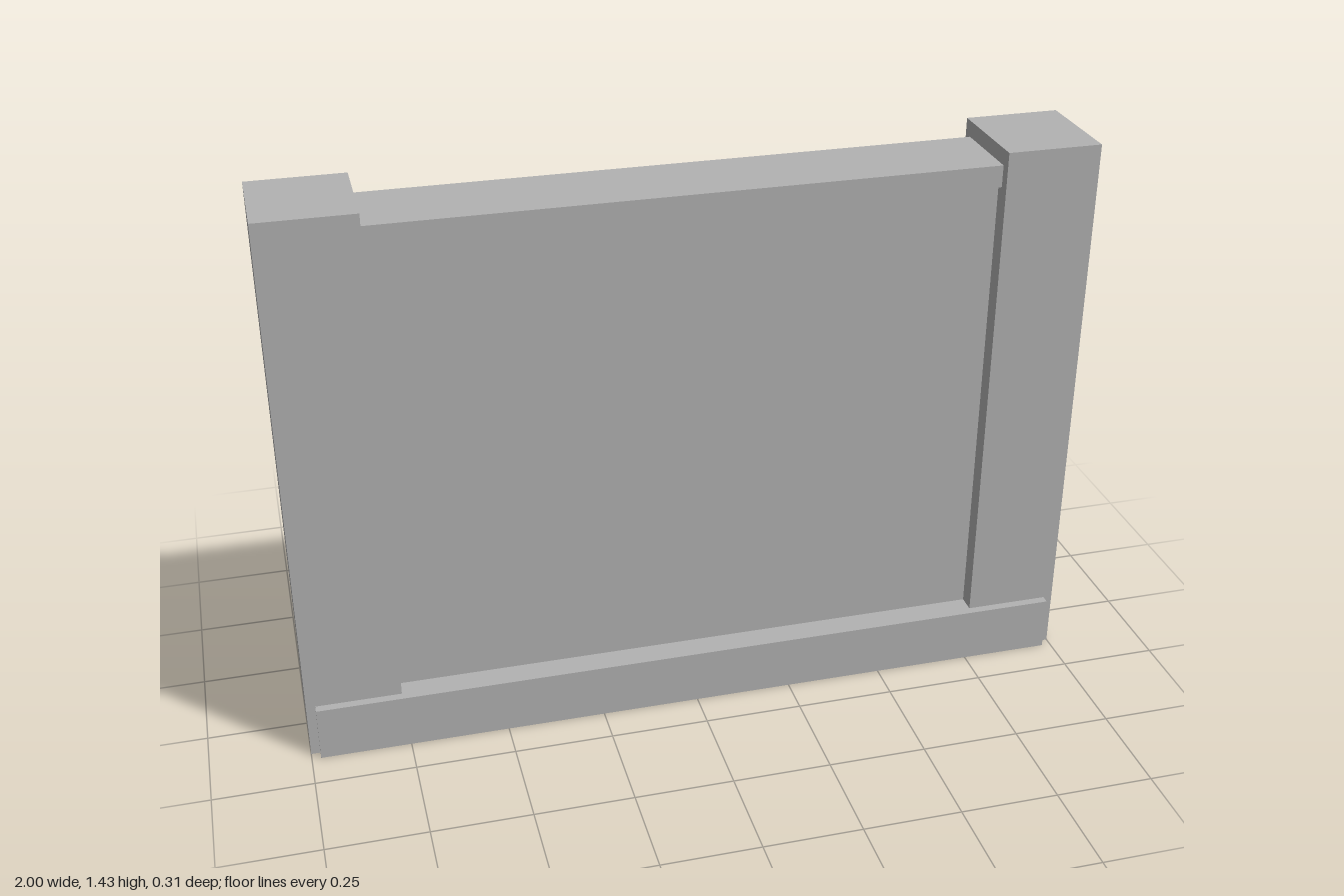
import * as THREE from 'three';

export function createModel() {
  const model = new THREE.Group();
  model.name = 'wallPanel';
  const grey = new THREE.MeshStandardMaterial({ color: 0xb2b2b2 });
  grey.name = 'plain grey';

  // Box spanning y0..y1, centred on z = 0
  function block(name, width, y0, y1, depth, x = 0) {
    const mesh = new THREE.Mesh(new THREE.BoxGeometry(width, y1 - y0, depth), grey);
    mesh.name = name;
    mesh.position.set(x, (y0 + y1) / 2, 0);
    model.add(mesh);
  }

  // End posts
  for (const side of [1, -1]) {
    block(side > 0 ? 'leftPost' : 'rightPost', 0.238, 0, 1.43, 0.262, side * 0.881);
  }

  // Recessed wall between the posts, with a top rail and a wider skirting
  block('wall', 1.524, 0.14, 1.335, 0.172);
  block('topRail', 1.524, 1.335, 1.39, 0.21);
  block('skirting', 1.954, 0, 0.143, 0.306);

  return model;
}
